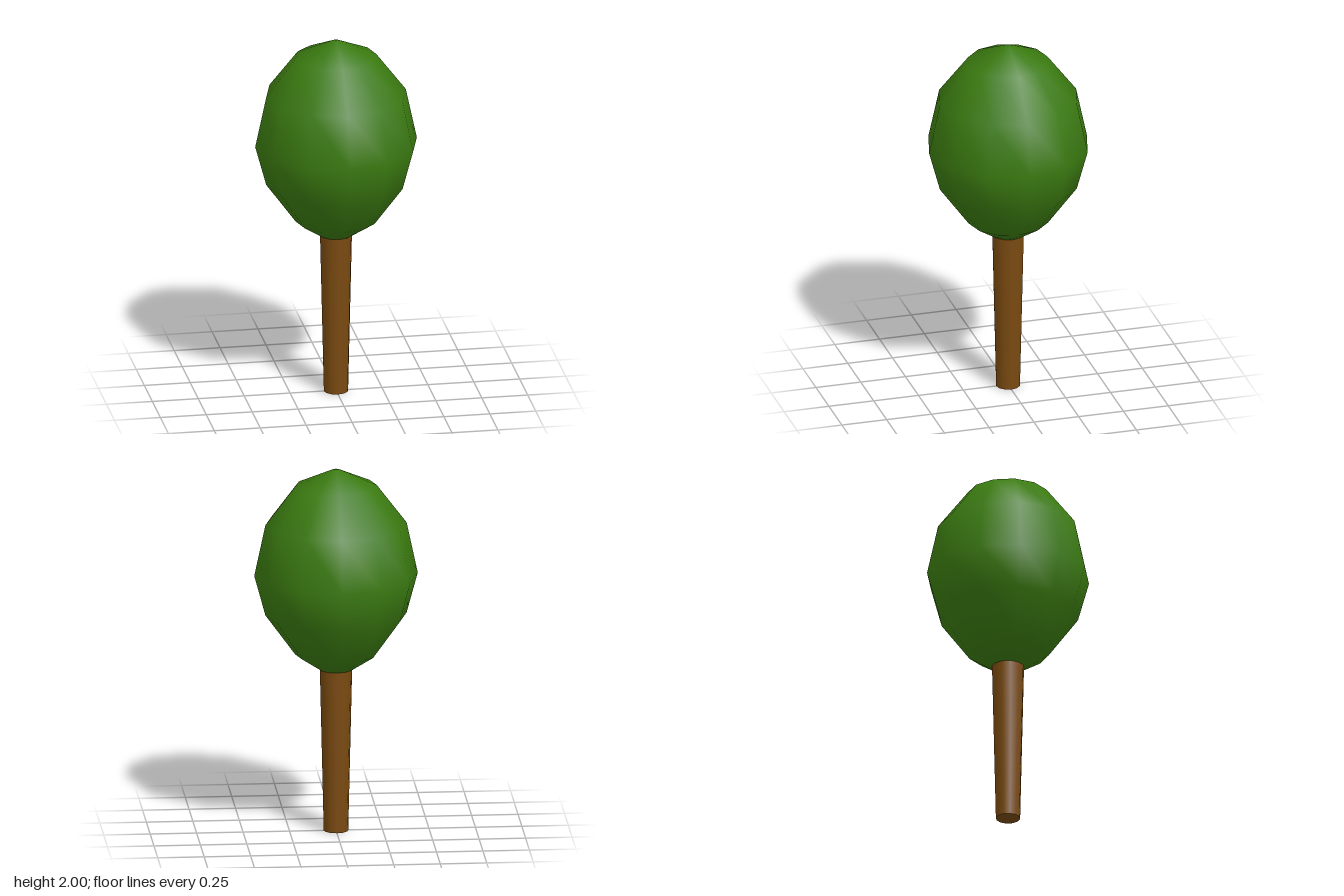
import * as THREE from 'three';

const SIDES = 12;

// Smooth twelve-sided solid turned from a bottom-to-top profile of [radius, height]
function turned(name, profile, material) {
  const points = profile.map(([r, y]) => new THREE.Vector2(r, y));
  const mesh = new THREE.Mesh(new THREE.LatheGeometry(points, SIDES), material);
  mesh.name = name;
  return mesh;
}

export function createModel() {
  const leafGreen = new THREE.MeshStandardMaterial({ color: 0x3a7a10 });
  leafGreen.name = 'leafGreen';
  const barkBrown = new THREE.MeshStandardMaterial({ color: 0x7a4a10 });
  barkBrown.name = 'barkBrown';

  const tree = new THREE.Group();
  tree.name = 'tree';

  // Trunk, slightly wider where it meets the crown
  const trunk = new THREE.Mesh(new THREE.CylinderGeometry(0.087, 0.066, 0.9, SIDES), barkBrown);
  trunk.name = 'trunk';
  trunk.position.y = 0.45;
  tree.add(trunk);

  // Egg-shaped crown
  tree.add(turned('crown', [
    [0, 0.89], [0.09, 0.895], [0.22, 0.98], [0.38, 1.2], [0.44, 1.42],
    [0.38, 1.7], [0.22, 1.91], [0.02, 2], [0, 2],
  ], leafGreen));

  return tree;
}
